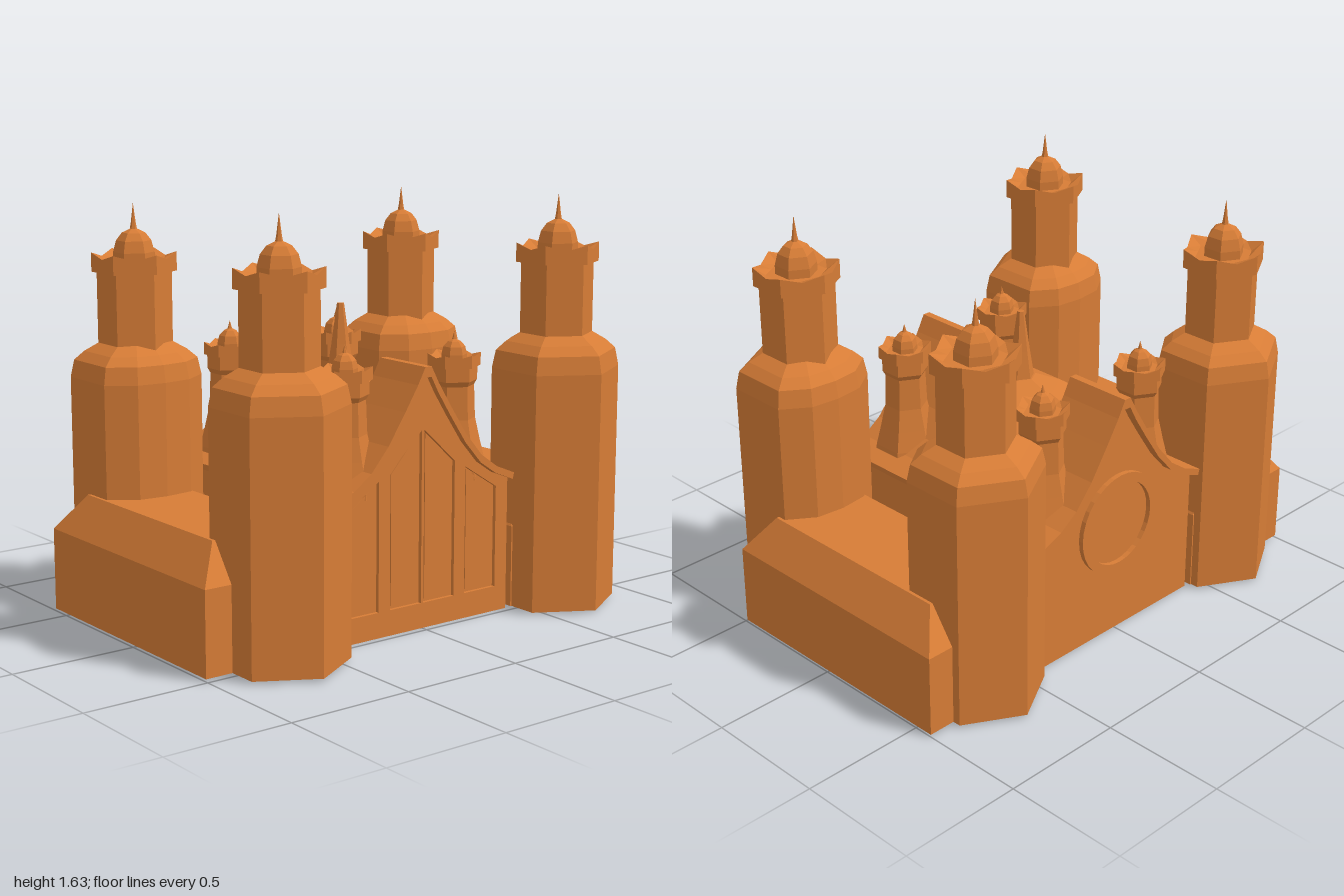
import * as THREE from 'three';

export function createModel() {
  const clay = new THREE.MeshStandardMaterial({ color: 0xd67c36 });
  clay.name = 'terracotta';
  clay.flatShading = true;
  const model = new THREE.Group();
  model.name = 'castle';

  const add = (parent, name, geo, x = 0, y = 0, z = 0) => {
    const m = new THREE.Mesh(geo, clay);
    m.name = name;
    m.position.set(x, y, z);
    parent.add(m);
    return m;
  };
  const lathe = (pts, sides = 6) =>
    new THREE.LatheGeometry(pts.map(p => new THREE.Vector2(p[0], p[1])), sides);
  const shapeOf = pts => new THREE.Shape(pts.map(p => new THREE.Vector2(p[0], p[1])));
  const extrude = (shape, depth) =>
    new THREE.ExtrudeGeometry(shape, { depth, bevelEnabled: false, curveSegments: 16 });

  // Hexagonal wall whose corner on the courtyard side (-z) is rounded off
  function towerBody() {
    const geo = lathe([[0, 0.01], [0.255, 0.01], [0.255, 0.95], [0.24, 1.02], [0.2, 1.055], [0.14, 1.09], [0, 1.09]], 12);
    const p = geo.attributes.position;
    for (let i = 0; i < p.count; i++) {
      const x = p.getX(i), z = p.getZ(i);
      const step = Math.round(Math.atan2(x, z) / (Math.PI / 6));
      const k = Math.abs(step) === 6 ? 0.84 : Math.abs(step) === 5 ? 0.91 : step % 2 ? 0.866 : 1;
      p.setXYZ(i, x * k, p.getY(i), z * k);
    }
    return geo;
  }

  // Crown with raised corners and a dip in the middle of every side
  function crown(inner, outer, y0, y1, floor, dip) {
    const geo = lathe([[inner, y0], [outer, y0], [outer, y1], [outer * 0.7, floor], [0, floor]], 12);
    const p = geo.attributes.position;
    for (let i = 0; i < p.count; i++) {
      const x = p.getX(i), y = p.getY(i), z = p.getZ(i);
      const odd = Math.abs(Math.round(Math.atan2(x, z) / (Math.PI / 6))) % 2;
      if (odd) p.setXYZ(i, x * 0.866, y > y1 - 0.001 ? y - dip : y, z * 0.866);
    }
    return geo;
  }

  // Large corner towers, the rear pair a little lower
  for (const sx of [-1, 1]) {
    for (const sz of [-1, 1]) {
      const t = new THREE.Group();
      t.name = 'cornerTower';
      const drop = sz < 0 ? -0.033 : 0;
      const body = add(t, 'towerBody', towerBody());
      if (drop) body.scale.y = 1.057 / 1.09;
      add(t, 'towerShaft', lathe([[0.145, 1.0], [0.145, 1.38]]), 0, drop);
      add(t, 'towerCrown', crown(0.13, 0.165, 1.365, 1.44, 1.405, 0.022), 0, drop);
      add(t, 'towerDome', lathe([[0.08, 1.4], [0.08, 1.44], [0.068, 1.485], [0.045, 1.515], [0.014, 1.53], [0.01, 1.55], [0, 1.63]]), 0, drop);
      t.position.set(sx * 0.667, 0, sz > 0 ? 0.482 : -0.485);
      if (sz < 0) body.rotation.y = Math.PI;
      model.add(t);
    }
  }

  // Small turrets standing on the hall roof
  for (const sx of [-1, 1]) {
    for (const z of [0.335, -0.42]) {
      const t = new THREE.Group();
      t.name = 'turret';
      add(t, 'turretShaft', lathe([[0.13, 0.54], [0.125, 0.6], [0.105, 0.68], [0.085, 0.77], [0.08, 0.9], [0.092, 0.92], [0.092, 0.98]]));
      add(t, 'turretCrown', crown(0.07, 0.105, 0.975, 1.025, 1.0, 0.014));
      add(t, 'turretDome', lathe([[0.05, 0.99], [0.05, 1.02], [0.043, 1.05], [0.025, 1.07], [0.009, 1.078], [0, 1.11]]));
      t.position.set(sx * 0.267, 0, z);
      model.add(t);
    }
  }

  // Side wings with hipped tops
  for (const sx of [-1, 1]) {
    add(model, 'sideWing', new THREE.BoxGeometry(0.56, 0.325, 1.07), sx * 0.72, 0.1725, -0.045);
    const hip = new THREE.BoxGeometry(0.56, 0.14, 1.07);
    const p = hip.attributes.position;
    for (let i = 0; i < p.count; i++) {
      if (p.getY(i) > 0) {
        p.setX(i, Math.sign(p.getX(i)) * 0.18);
        p.setZ(i, Math.sign(p.getZ(i)) * 0.435);
      }
    }
    add(model, 'wingRoof', hip, sx * 0.72, 0.405, -0.045);
  }

  // Roof outlines, right half from eave to ridge
  const eaves = [[0.44, 0.555], [0.35, 0.592], [0.27, 0.648], [0.19, 0.74]];
  const tall = [...eaves, [0.11, 0.86], [0.05, 0.955], [0.015, 1.02]];
  const low = [...eaves, [0.1, 0.82], [0.015, 0.865]];
  const mirror = pts => pts.map(([x, y]) => [-x, y]).reverse();
  const under = pts => pts.map(([x, y]) => [x * 0.985, y - 0.025 - 0.04 * Math.max(0, 0.4 - x)]);
  const roofShape = half => {
    const u = under(half);
    return shapeOf([...half, ...mirror(half), ...mirror(u).reverse(), ...u.slice().reverse()]);
  };
  const wallTop = half => {
    const u = under(half).map(([x, y]) => [Math.min(x, 0.43), y + 0.002]);
    return [[-0.43, 0], [0.43, 0], ...u, ...mirror(u)];
  };

  // Main hall with a tall gable at each end and a lower middle
  add(model, 'hallMiddle', extrude(shapeOf(wallTop(low)), 0.57), 0, 0, -0.33);
  add(model, 'frontGable', extrude(shapeOf(wallTop(tall)), 0.225), 0, 0, 0.232);
  add(model, 'backGable', extrude(shapeOf(wallTop(tall)), 0.235), 0, 0, -0.56);
  add(model, 'middleRoof', extrude(roofShape(low), 0.55), 0, 0, -0.32);
  add(model, 'frontRoof', extrude(roofShape(tall), 0.27), 0, 0, 0.23);
  add(model, 'backRoof', extrude(roofShape(tall), 0.28), 0, 0, -0.6);

  // Front facing with sunken window and door panels
  const facing = shapeOf(wallTop(tall));
  const door = [[0.006, 0.1], [0.158, 0.1], [0.158, 0.635], [0.006, 0.775]];
  const win = [[0.212, 0.1], [0.37, 0.1], [0.37, 0.505], [0.212, 0.605]];
  for (const hole of [door, win, mirror(door), mirror(win)]) {
    facing.holes.push(new THREE.Path(hole.map(p => new THREE.Vector2(p[0], p[1]))));
  }
  add(model, 'frontFacing', extrude(facing, 0.015), 0, 0, 0.457);

  // Thin raised panels inside the openings leave a groove around them
  const inset = pts => {
    const cx = (pts[0][0] + pts[1][0]) / 2;
    return pts.map(([x, y], i) => [x + Math.sign(cx - x) * 0.012, y + (i < 2 ? 0.012 : -0.014)]);
  };
  for (const panel of [inset(door), inset(win)]) {
    add(model, 'panel', extrude(shapeOf(panel), 0.006), 0, 0, 0.456);
    add(model, 'panel', extrude(shapeOf(mirror(panel)), 0.006), 0, 0, 0.456);
  }

  // Round window frame on the back wall
  const ring = new THREE.Shape().absarc(0, 0, 0.21, 0, Math.PI * 2, false);
  ring.holes.push(new THREE.Path().absarc(0, 0, 0.172, 0, Math.PI * 2, true));
  add(model, 'roundWindowFrame', extrude(ring, 0.025), 0, 0.48, -0.58);

  // Central dome and its blunt spire
  add(model, 'centralDome', lathe([[0.32, 0.62], [0.333, 0.66], [0.32, 0.72], [0.285, 0.79], [0.23, 0.845], [0.16, 0.888], [0.06, 0.928], [0, 0.928]]), 0, 0, -0.04);
  add(model, 'centralSpire', lathe([[0.055, 0.92], [0.036, 1.04], [0.014, 1.2], [0, 1.2]]), 0, 0, -0.04);
  return model;
}
